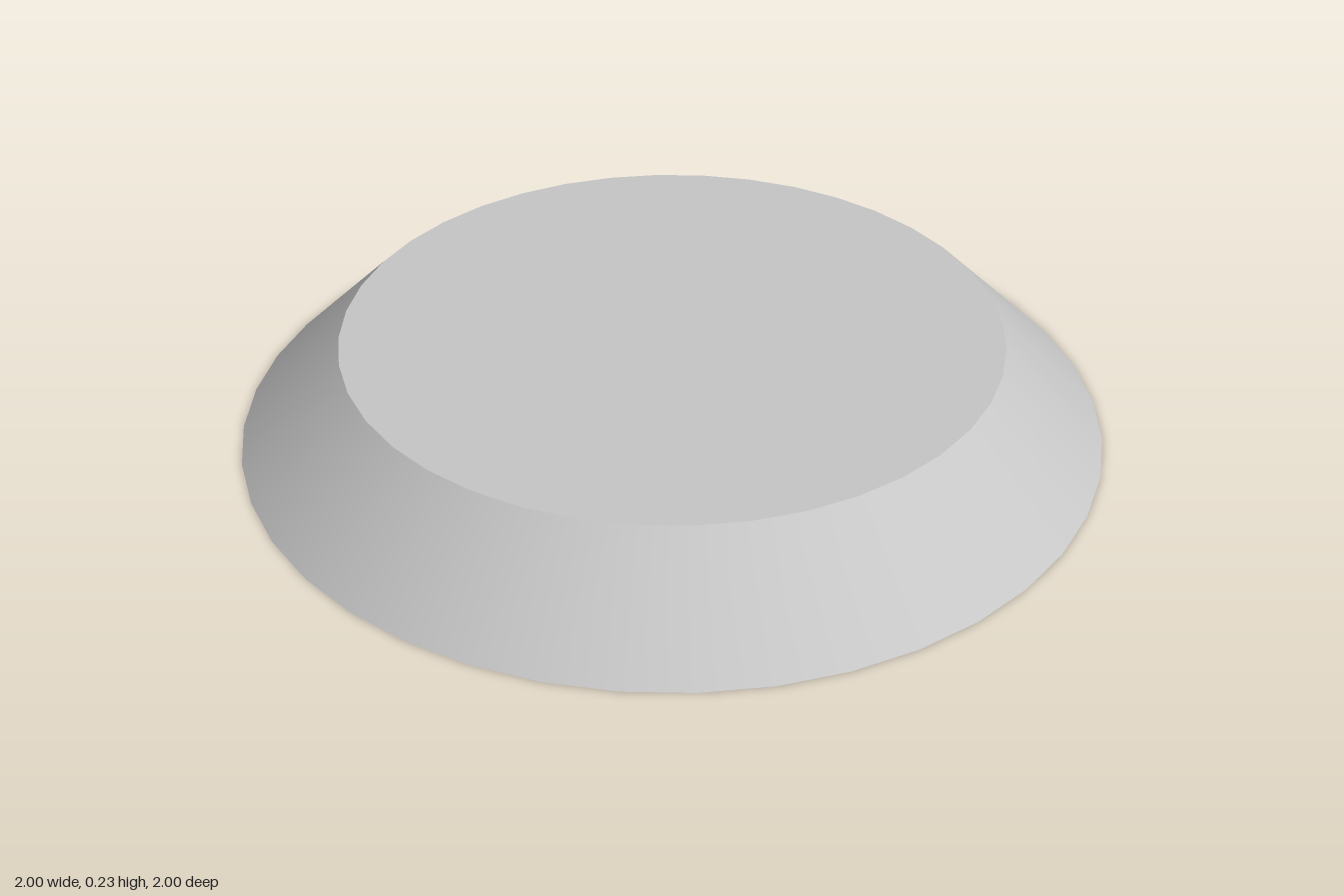
import * as THREE from 'three';

const SEGMENTS = 40;
const BASE_R = 1, TOP_R = 0.762, HEIGHT = 0.235;
const HALF = 0.365, DEPTH = 0.1; // square recess in the underside

export function createModel() {
  const group = new THREE.Group();
  const grey = new THREE.MeshStandardMaterial({ color: 0xc6c6c6 });
  grey.name = 'light grey';

  const add = (name, geometry, parent = group) => {
    const mesh = new THREE.Mesh(geometry, grey);
    mesh.name = name;
    parent.add(mesh);
    return mesh;
  };

  // Sloping rim and flat top
  add('slopedRim', new THREE.CylinderGeometry(TOP_R, BASE_R, HEIGHT, SEGMENTS, 1, true)
    .translate(0, HEIGHT / 2, 0));
  add('topFace', new THREE.CircleGeometry(TOP_R, SEGMENTS)
    .rotateX(-Math.PI / 2).translate(0, HEIGHT, 0));

  // Underside disc with a square opening
  const ring = Array.from({ length: SEGMENTS }, (_, i) => {
    const a = (i / SEGMENTS) * Math.PI * 2;
    return new THREE.Vector2(Math.cos(a) * BASE_R, Math.sin(a) * BASE_R);
  });
  const disc = new THREE.Shape(ring);
  disc.holes.push(new THREE.Path([
    new THREE.Vector2(-HALF, -HALF), new THREE.Vector2(-HALF, HALF),
    new THREE.Vector2(HALF, HALF), new THREE.Vector2(HALF, -HALF),
  ]));
  add('underside', new THREE.ShapeGeometry(disc).rotateX(Math.PI / 2));

  // Recess: four inward-facing walls and a ceiling
  const recess = new THREE.Group();
  recess.name = 'recess';
  group.add(recess);
  for (let i = 0; i < 4; i++) {
    add('recessWall', new THREE.PlaneGeometry(HALF * 2, DEPTH)
      .translate(0, DEPTH / 2, -HALF).rotateY(i * Math.PI / 2), recess);
  }
  add('recessCeiling', new THREE.PlaneGeometry(HALF * 2, HALF * 2)
    .rotateX(Math.PI / 2).translate(0, DEPTH, 0), recess);

  // Three small tabs standing out from the front wall of the recess
  for (const x of [-0.205, 0, 0.205]) {
    add('tab', new THREE.BoxGeometry(0.115, 0.04, 0.115)
      .translate(x, 0.042, HALF - 0.0575), recess);
  }

  return group;
}
